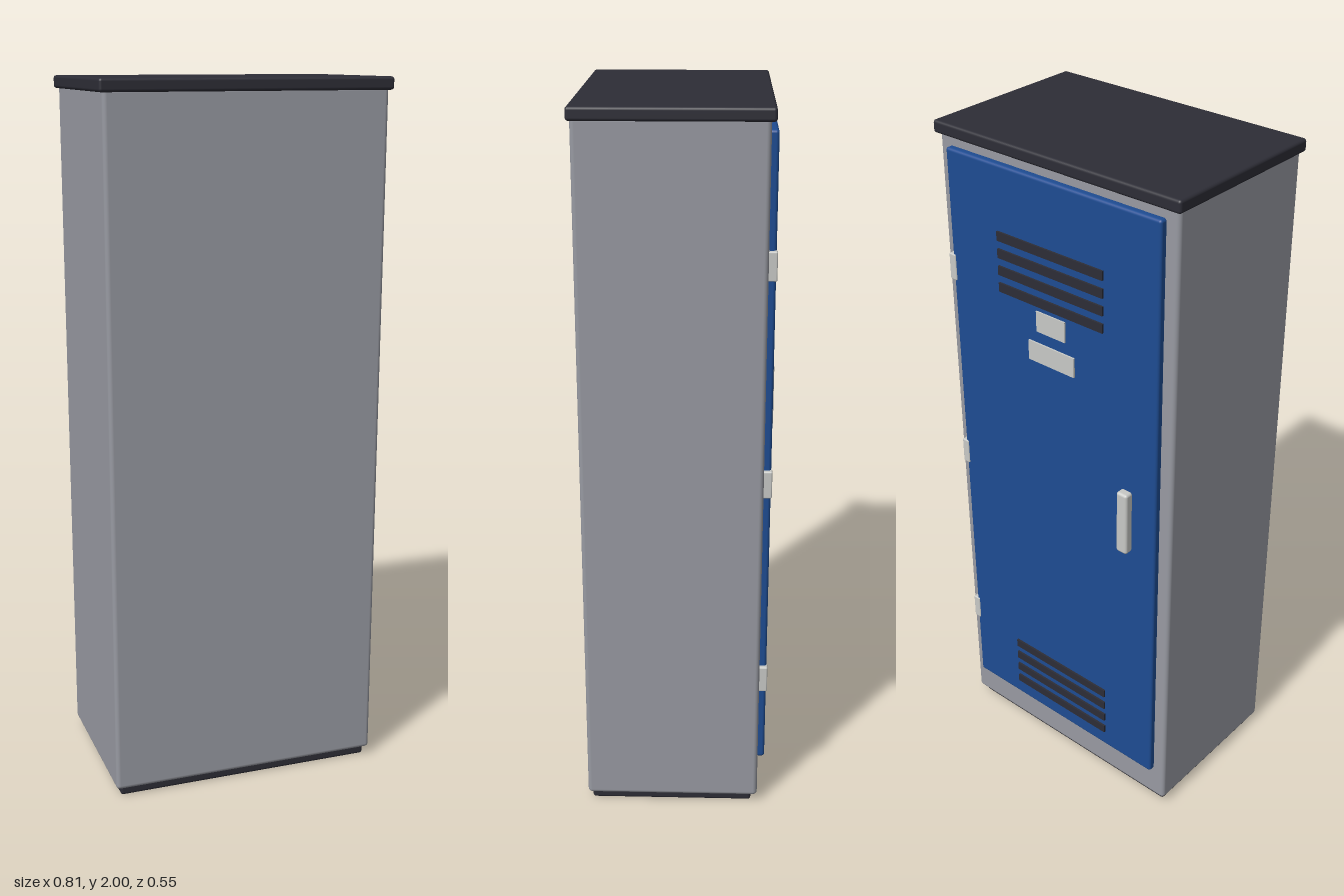
import * as THREE from 'three';
import { RoundedBoxGeometry } from 'three/addons/geometries/RoundedBoxGeometry.js';

const mat = (name, color) => {
  const m = new THREE.MeshStandardMaterial({ color });
  m.name = name;
  return m;
};

export function createModel() {
  const grey = mat('grey steel', 0x989aa2);
  const dark = mat('dark trim', 0x2d2d36);
  const blue = mat('blue door paint', 0x1e4c92);
  const metal = mat('light metal', 0xc8c9c6);

  const locker = new THREE.Group();
  locker.name = 'locker';

  // Box given by its extents; a radius rounds its edges
  const box = (name, material, [x0, x1], [y0, y1], [z0, z1], radius = 0) => {
    const size = [x1 - x0, y1 - y0, z1 - z0];
    const geometry = radius
      ? new RoundedBoxGeometry(...size, 3, radius)
      : new THREE.BoxGeometry(...size);
    const mesh = new THREE.Mesh(geometry, material);
    mesh.name = name;
    mesh.position.set((x0 + x1) / 2, (y0 + y1) / 2, (z0 + z1) / 2);
    locker.add(mesh);
  };

  // Cabinet with its plinth and overhanging lid
  box('plinth', dark, [-0.38, 0.38], [0, 0.06], [-0.212, 0.25], 0.008);
  box('body', grey, [-0.395, 0.395], [0.025, 1.975], [-0.23, 0.263], 0.012);
  box('lid', dark, [-0.406, 0.406], [1.965, 2], [-0.243, 0.272], 0.008);

  // Door on the -z side
  box('door', blue, [-0.357, 0.357], [0.135, 1.94], [-0.25, -0.225], 0.008);

  // Louvre slats, four above and four below
  for (const top of [1.745, 0.35]) {
    for (let i = 0; i < 4; i++) {
      const y = top - i * 0.049;
      box('ventSlat', dark, [-0.18, 0.18], [y - 0.013, y + 0.013], [-0.256, -0.247]);
    }
  }

  // Number plate and name card holder
  box('numberPlate', metal, [-0.05, 0.05], [1.51, 1.57], [-0.254, -0.247]);
  box('cardHolder', metal, [-0.08, 0.08], [1.417, 1.475], [-0.255, -0.247]);

  // Door pull
  box('handle', metal, [-0.278, -0.241], [0.94, 1.137], [-0.275, -0.246], 0.008);

  // Hinges along the door edge
  for (const y of [1.6, 1, 0.4]) {
    box('hinge', metal, [0.345, 0.369], [y - 0.039, y + 0.039], [-0.253, -0.225], 0.004);
  }

  return locker;
}
